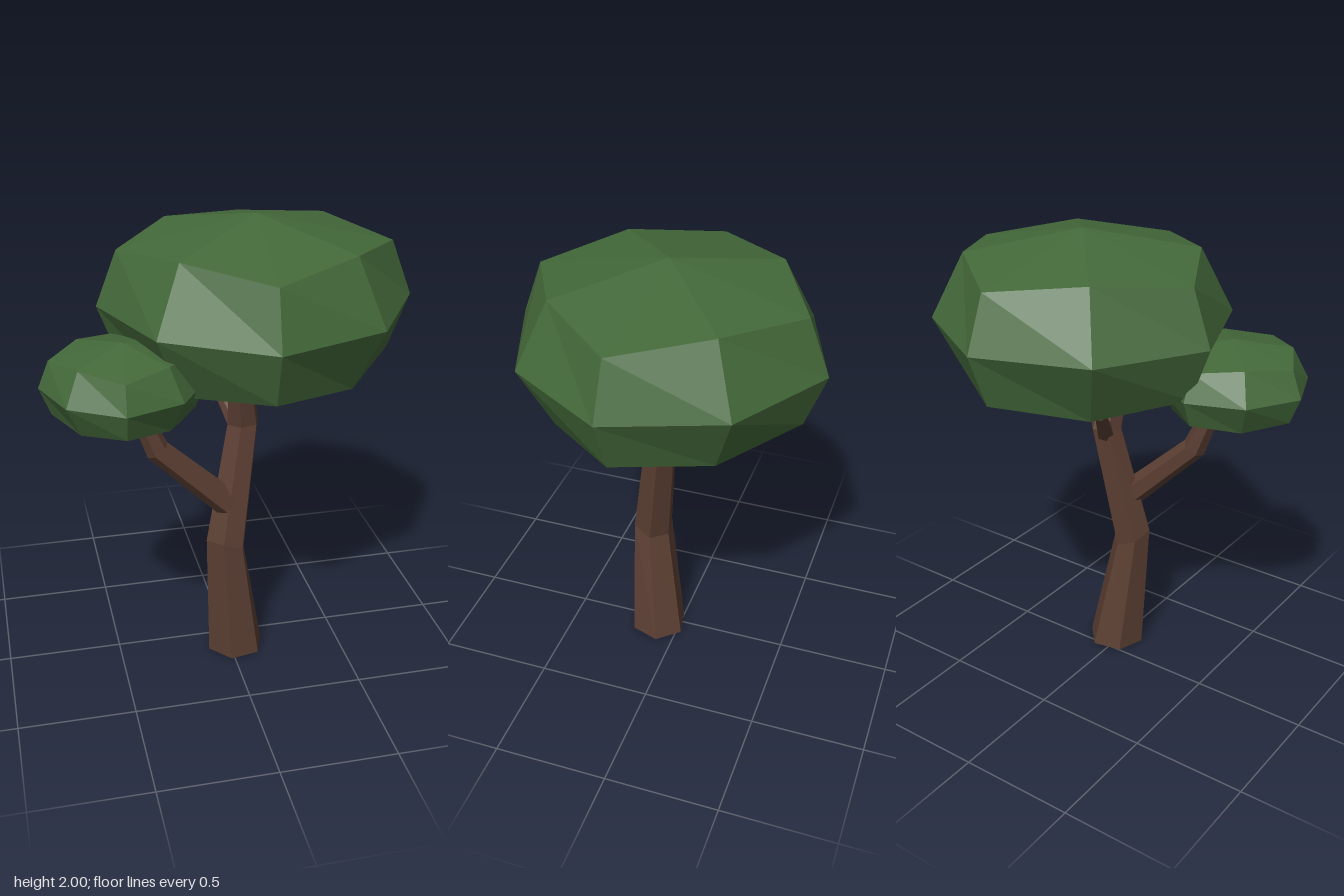
import * as THREE from 'three';

const bark = new THREE.MeshStandardMaterial({ color: 0x5c3f33, flatShading: true });
const leaf = new THREE.MeshStandardMaterial({ color: 0x44693a, flatShading: true });

// Skin a stack of rings (bottom to top) and close it with a fan at each end
function loft(name, rings, bottom, top, material) {
  const n = rings[0].length;
  const points = [...rings.flat(), bottom, top];
  const b = n * rings.length, t = b + 1, last = n * (rings.length - 1);
  const index = [];
  for (let i = 0; i < n; i++) {
    const j = (i + 1) % n;
    index.push(b, i, j, t, last + j, last + i);
    for (let k = 0; k < last; k += n) {
      index.push(k + i, k + n + i, k + n + j, k + i, k + n + j, k + j);
    }
  }
  const indexed = new THREE.BufferGeometry().setFromPoints(points);
  indexed.setIndex(index);
  const geometry = indexed.toNonIndexed();
  geometry.computeVertexNormals();
  const mesh = new THREE.Mesh(geometry, material);
  mesh.name = name;
  return mesh;
}

// Six-sided limb; each station is [x, y, z, radius, tiltX, tiltZ]
function limb(name, stations) {
  const up = new THREE.Vector3(0, 1, 0);
  const rings = stations.map(([x, y, z, r, tx, tz]) => {
    const q = new THREE.Quaternion().setFromUnitVectors(up, new THREE.Vector3(tx, 1, tz).normalize());
    return Array.from({ length: 6 }, (_, i) => {
      const a = THREE.MathUtils.degToRad(60 * i - 11);
      return new THREE.Vector3(r * Math.cos(a), 0, r * Math.sin(a))
        .applyQuaternion(q).add(new THREE.Vector3(x, y, z));
    });
  });
  const centre = (s) => new THREE.Vector3(s[0], s[1], s[2]);
  return loft(name, rings, centre(stations[0]), centre(stations.at(-1)), bark);
}

// Rounded block of leaves: eight-sided rings whose even corners bulge out
function crown(name, x, y, z, r, h) {
  const ring = (evenR, evenY, oddR, oddY) => Array.from({ length: 8 }, (_, i) => {
    const a = THREE.MathUtils.degToRad(45 * i + 5.5);
    const [k, v] = i % 2 ? [oddR, oddY] : [evenR, evenY];
    return new THREE.Vector3(x + r * k * Math.cos(a), y + h * v, z + r * k * Math.sin(a));
  });
  const rings = [
    ring(0.865, -0.64, 0.74, -0.75),
    ring(1, 0, 0.955, 0),
    ring(0.865, 0.64, 0.74, 0.75),
  ];
  return loft(name, rings, new THREE.Vector3(x, y - h, z), new THREE.Vector3(x, y + h, z), leaf);
}

export function createModel() {
  const tree = new THREE.Group();
  tree.name = 'tree';
  tree.add(
    limb('trunk', [
      [0.028, 0, 0.1, 0.13, 0, 0],
      [-0.028, 0.567, 0.143, 0.093, 0.32, -0.35],
      [0.065, 1.115, 0.068, 0.072, -0.06, -0.03],
      [0.035, 1.38, 0.135, 0.05, -0.1, 0.25],
    ]),
    limb('sideBranch', [
      [-0.02, 0.77, 0.145, 0.062, -1, 0.1],
      [-0.325, 1.07, 0.175, 0.052, -0.65, 0.05],
      [-0.43, 1.33, 0.185, 0.033, -0.35, 0.05],
    ]),
    limb('backBranch', [
      [0.05, 1.08, 0.045, 0.04, -0.5, -0.95],
      [-0.015, 1.23, -0.085, 0.026, -0.2, -0.45],
      [-0.02, 1.35, -0.09, 0.02, 0, 0],
    ]),
    crown('mainCrown', 0.132, 1.633, 0, 0.66, 0.367),
    crown('sideCrown', -0.465, 1.402, 0.23, 0.333, 0.178),
  );
  return tree;
}
